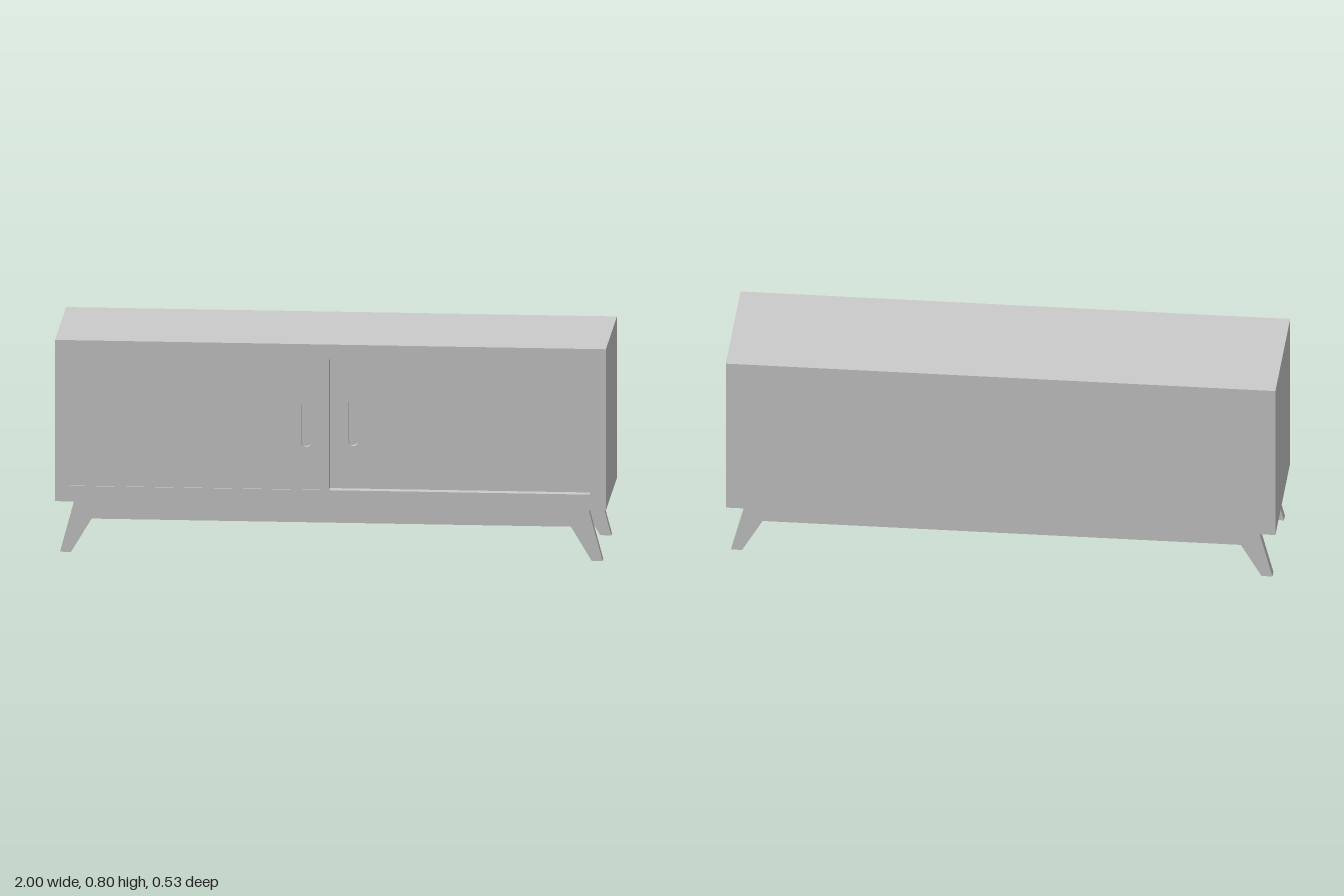
import * as THREE from 'three';

const material = new THREE.MeshStandardMaterial({ color: 0xcccccc });

const DEPTH = 0.266;               // half depth of the cabinet
const BOTTOM = 0.197, TOP = 0.796; // cabinet underside and top
const OPEN = { x0: -0.945, x1: 0.942, y0: 0.255, y1: 0.741 }; // front opening
const CORE = 0.19;                 // front of the solid body behind the doors

function rectangle(target, x0, y0, x1, y1) {
  target.moveTo(x0, y0);
  target.lineTo(x1, y0);
  target.lineTo(x1, y1);
  target.lineTo(x0, y1);
  target.closePath();
  return target;
}

// Upright slot with round ends
function slot(x, y, radius, halfHeight) {
  const path = new THREE.Path();
  const straight = halfHeight - radius;
  path.absarc(x, y + straight, radius, 0, Math.PI, false);
  path.absarc(x, y - straight, radius, Math.PI, Math.PI * 2, false);
  path.closePath();
  return path;
}

function addMesh(parent, name, geometry) {
  const mesh = new THREE.Mesh(geometry, material);
  mesh.name = name;
  parent.add(mesh);
  return mesh;
}

function addBox(parent, name, x0, x1, y0, y1, z0, z1) {
  const mesh = addMesh(parent, name, new THREE.BoxGeometry(x1 - x0, y1 - y0, z1 - z0));
  mesh.position.set((x0 + x1) / 2, (y0 + y1) / 2, (z0 + z1) / 2);
}

function addExtrusion(parent, name, shape, z0, z1) {
  const geometry = new THREE.ExtrudeGeometry(shape, { depth: z1 - z0, bevelEnabled: false, curveSegments: 12 });
  addMesh(parent, name, geometry).position.z = z0;
}

// Sliding door: a pierced front layer over a plain back layer makes the finger pull
function createDoor(name, x0, x1, front, pullX) {
  const door = new THREE.Group();
  door.name = name;
  const pullDepth = 0.018;
  const shape = rectangle(new THREE.Shape(), x0, OPEN.y0, x1, OPEN.y1);
  shape.holes.push(slot(pullX, 0.5, 0.0185, 0.087));
  addExtrusion(door, 'doorFront', shape, front - pullDepth, front);
  addBox(door, 'doorBack', x0, x1, OPEN.y0, OPEN.y1, front - 0.03, front - pullDepth);
  return door;
}

// Splayed pair of legs joined by a rail, mirrored about x = 0
function legFrameShape() {
  const half = [[0.87, 0.125], [0.945, 0], [0.985, 0], [0.932, BOTTOM]];
  const mirrored = half.map(([x, y]) => [-x, y]).reverse();
  return new THREE.Shape([...half, ...mirrored].map(([x, y]) => new THREE.Vector2(x, y)));
}

export function createModel() {
  const model = new THREE.Group();
  model.name = 'sideboard';

  // Cabinet: solid body with a framed opening at the front
  addBox(model, 'cabinetBody', -1, 1, BOTTOM, TOP, -DEPTH, CORE);
  const frame = rectangle(new THREE.Shape(), -1, BOTTOM, 1, TOP);
  frame.holes.push(rectangle(new THREE.Path(), OPEN.x0, OPEN.y0, OPEN.x1, OPEN.y1));
  addExtrusion(model, 'frontFrame', frame, CORE, DEPTH);

  // Doors on two tracks: one almost flush, the other set back behind it
  model.add(createDoor('outerDoor', OPEN.x0, -0.005, DEPTH - 0.005, -0.088));
  model.add(createDoor('innerDoor', -0.05, OPEN.x1, DEPTH - 0.035, 0.081));

  // Front and back leg frames
  for (const [name, z] of [['frontLegs', 0.207], ['backLegs', -0.207]]) {
    addExtrusion(model, name, legFrameShape(), z - 0.0175, z + 0.0175);
  }

  return model;
}
